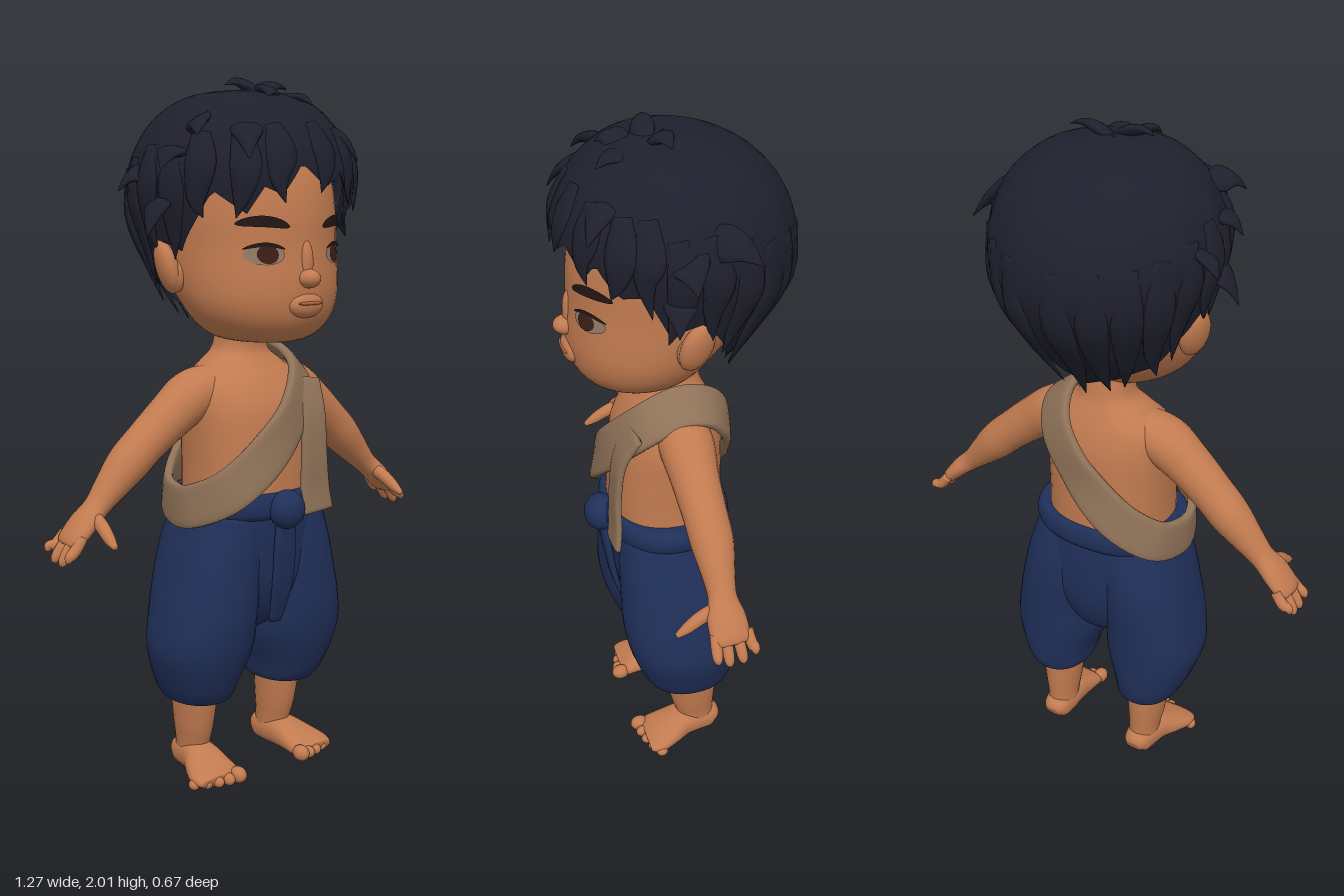
import * as THREE from 'three';

const mat = (name, color, side = THREE.FrontSide) => {
  const m = new THREE.MeshStandardMaterial({ color, side });
  m.name = name;
  return m;
};
const V3 = (x, y, z) => new THREE.Vector3(x, y, z);

// smooth interpolation through rows of numbers
function rowAt(rows, t, closed = false) {
  const n = rows.length;
  const get = i => closed ? rows[(i + n) % n] : rows[Math.max(0, Math.min(n - 1, i))];
  const i = closed ? Math.floor(t) : Math.min(Math.floor(t), n - 2), u = t - i;
  const [a, b, c, d] = [get(i - 1), get(i), get(i + 1), get(i + 2)];
  return b.map((_, k) => b[k] + 0.5 * u * (c[k] - a[k] + u * (2 * a[k] - 5 * b[k] + 4 * c[k] - d[k]
    + u * (3 * (b[k] - c[k]) + d[k] - a[k]))));
}

// row of a rising section list at height y
function rowAtY(rows, y) {
  let lo = 0, hi = rows.length - 1;
  for (let k = 0; k < 24; k++) {
    const m = (lo + hi) / 2;
    if (rowAt(rows, m)[1] < y) lo = m; else hi = m;
  }
  return rowAt(rows, lo);
}

// rows: [x, y, z, radius along ref, radius across]; ref is a vector or function of the point
function sweep(rows, { ref = V3(0, 0, 1), flat = false, closed = false, sides = 24, steps = 5, pow = 2 } = {}) {
  const n = (closed ? rows.length : rows.length - 1) * steps, rings = [];
  for (let i = 0; i < (closed ? n : n + 1); i++) rings.push(rowAt(rows, i / steps, closed));
  const pos = [], idx = [], count = rings.length;
  const at = i => V3(...rings[closed ? (i + count) % count : Math.max(0, Math.min(count - 1, i))]);
  const bend = v => Math.sign(v) * Math.abs(v) ** (2 / pow);
  rings.forEach((r, i) => {
    const c = at(i), T = at(i + 1).sub(at(i - 1));
    if (flat) T.set(0, Math.sign(T.y), 0);
    T.normalize();
    const U = (typeof ref === 'function' ? ref(c) : ref.clone());
    U.addScaledVector(T, -U.dot(T)).normalize();
    const W = T.clone().cross(U);
    for (let j = 0; j < sides; j++) {
      const a = j / sides * Math.PI * 2;
      const p = c.clone().addScaledVector(U, bend(Math.cos(a)) * r[3]).addScaledVector(W, bend(Math.sin(a)) * r[4]);
      pos.push(p.x, p.y, p.z);
    }
  });
  for (let i = 0; i < (closed ? count : count - 1); i++) for (let j = 0; j < sides; j++) {
    const k = (j + 1) % sides, q = (i + 1) % count;
    const a = i * sides + j, b = i * sides + k, c = q * sides + j, d = q * sides + k;
    idx.push(a, b, c, b, d, c);
  }
  if (!closed) {
    const s = pos.length / 3, e = (count - 1) * sides;
    pos.push(...rings[0].slice(0, 3), ...rings[count - 1].slice(0, 3));
    for (let j = 0; j < sides; j++) {
      const k = (j + 1) % sides;
      idx.push(s, k, j, s + 1, e + j, e + k);
    }
  }
  return build(pos, idx);
}

function build(pos, idx) {
  const g = new THREE.BufferGeometry();
  g.setAttribute('position', new THREE.Float32BufferAttribute(pos, 3));
  g.setIndex(idx);
  g.computeVertexNormals();
  return g;
}

// [height, half width, front z, back z] to sweep rows
const sections = list => list.map(([y, rx, f, b]) => [0, y, (f + b) / 2, (f - b) / 2, rx]);
const headRows = sections([[1.283, 0.03, 0.16, 0.06], [1.29, 0.1, 0.215, -0.01], [1.31, 0.155, 0.255, -0.05],
  [1.35, 0.2, 0.285, -0.09], [1.4, 0.228, 0.298, -0.13], [1.46, 0.242, 0.3, -0.18], [1.55, 0.25, 0.292, -0.23],
  [1.65, 0.258, 0.285, -0.26], [1.75, 0.25, 0.26, -0.25], [1.85, 0.2, 0.2, -0.18], [1.92, 0.08, 0.1, -0.06]]);
const hairRows = sections([[1.3, 0.14, 0.2, -0.1], [1.38, 0.205, 0.25, -0.16], [1.46, 0.25, 0.29, -0.235],
  [1.55, 0.278, 0.305, -0.295], [1.65, 0.308, 0.318, -0.328], [1.75, 0.318, 0.322, -0.318], [1.84, 0.29, 0.292, -0.28],
  [1.91, 0.24, 0.24, -0.215], [1.96, 0.155, 0.165, -0.12], [1.98, 0.005, 0.03, 0.02]]);

// hairline height by angle from the front, in degrees
const hairline = [[-180, 1.33], [-150, 1.37], [-122, 1.42], [-105, 1.5], [-90, 1.57], [-75, 1.54], [-62, 1.62], [-52, 1.7],
  [-36, 1.64], [-27, 1.71], [-18, 1.69], [-8, 1.77], [8, 1.71], [18, 1.75], [30, 1.68], [38, 1.73], [50, 1.65],
  [62, 1.66], [75, 1.54], [90, 1.57], [105, 1.5], [122, 1.42], [150, 1.37], [180, 1.33]];
function edgeY(deg) {
  const i = Math.max(1, hairline.findIndex(h => h[0] >= deg));
  const [a, b] = [hairline[i - 1], hairline[i]];
  return a[1] + (b[1] - a[1]) * (deg - a[0]) / (b[0] - a[0]);
}
function hairPoint(deg, s, lift = 0) {
  const y = 1.98 - (1.98 - edgeY(deg)) * s ** 1.6, r = rowAtY(hairRows, y), a = deg * Math.PI / 180;
  const wave = 1 + 0.012 * s * Math.sin(a * 13 + s * 4) + lift;
  return [Math.sin(a) * r[4] * wave, y, r[2] + Math.cos(a) * r[3] * wave];
}

export function createModel() {
  const model = new THREE.Group();
  const skin = mat('skin', 0xc27b50), hair = mat('hair', 0x1f202d, THREE.DoubleSide), cloth = mat('trouser cloth', 0x20305a),
    sashCloth = mat('sash cloth', 0x8f7258), brow = mat('brow', 0x211616), eyeWhite = mat('eye white', 0x947a66),
    iris = mat('iris', 0x3d1f18), lip = mat('lip', 0xa8623f);
  const add = (name, geo, m) => {
    const mesh = new THREE.Mesh(geo, m);
    mesh.name = name;
    model.add(mesh);
    return mesh;
  };
  const ball = (name, m, x, y, z, rx, ry, rz) => {
    const b = add(name, new THREE.SphereGeometry(1, 24, 16), m);
    b.position.set(x, y, z);
    b.scale.set(rx, ry, rz);
    return b;
  };

  // head, nose, lips and ears
  add('head', sweep(headRows, { flat: true, sides: 48 }), skin);
  ball('nose', skin, 0, 1.467, 0.3, 0.032, 0.026, 0.034);
  ball('noseBridge', skin, 0, 1.51, 0.286, 0.022, 0.06, 0.02);
  ball('muzzle', skin, 0, 1.395, 0.288, 0.06, 0.035, 0.026);
  ball('mouth', lip, 0, 1.401, 0.308, 0.042, 0.006, 0.009);

  // thin oval laid on the face
  const plate = (name, m, cx, cy, rx, ry, off, arch = 0, tilt = 0) => {
    const g = new THREE.RingGeometry(0.001, 1, 28, 4), p = g.attributes.position;
    for (let i = 0; i < p.count; i++) {
      const u = p.getX(i), x = cx + u * rx, y = cy + p.getY(i) * ry - arch * u * u + tilt * u;
      const r = rowAtY(headRows, y);
      p.setXYZ(i, x, y, r[2] + r[3] * Math.sqrt(1 - (x / r[4]) ** 2) + off);
    }
    g.computeVertexNormals();
    add(name, g, m);
  };
  for (const s of [1, -1]) {
    plate('eye', eyeWhite, s * 0.122, 1.532, 0.048, 0.027, 0.004);
    plate('iris', iris, s * 0.118, 1.533, 0.026, 0.025, 0.007);
    plate('eyelid', brow, s * 0.124, 1.559, 0.05, 0.006, 0.008, 0.012);
    plate('eyebrow', brow, s * 0.122, 1.62, 0.064, 0.015, 0.006, 0.01, s * 0.004);
    ball('ear', skin, s * 0.262, 1.495, 0.01, 0.03, 0.075, 0.05).rotation.set(-0.15, s * 0.35, -s * 0.2);
    ball('earBowl', skin, s * 0.25, 1.47, 0.03, 0.03, 0.045, 0.03);
  }

  // hair shell with a ragged hairline
  const cols = 120, levels = 22, pos = [], idx = [];
  for (let i = 0; i <= levels; i++) for (let j = 0; j < cols; j++) pos.push(...hairPoint(j / cols * 360 - 180, i / levels));
  for (let i = 0; i < levels; i++) for (let j = 0; j < cols; j++) {
    const k = (j + 1) % cols, a = i * cols + j, b = i * cols + k;
    idx.push(a, a + cols, b, b, a + cols, b + cols);
  }
  add('hairCap', build(pos, idx), hair);

  // locks lying over the shell and poking below it
  const radial = c => V3(c.x, (c.y - 1.65) * 0.6, c.z);
  const lock = (pts, w) => add('hairLock', sweep(pts.map((p, i) => [...p, [0.012, 0.016, 0.01, 0.001][i], [0.6, 1, 0.6, 0.02][i] * w]),
    { ref: radial, sides: 10, steps: 4 }), hair);
  [-175, -157, -140, -124, -108, -92, -76, -60, -38, -20, 7, 29, 49, 62, 77, 93, 109, 125, 141, 158].forEach((d, i) => {
    const tip = hairPoint(d + (i % 2 ? 3 : -3), 1, 0.01);
    tip[1] -= 0.03;
    lock([hairPoint(d, 0.55, -0.02), hairPoint(d + 2, 0.75, -0.005), hairPoint(d, 0.92, 0.005), tip], 0.045);
  });
  // stray tufts: [start, end, width]
  [[[-0.27, 1.8, 0.08], [-0.345, 1.755, 0.1], 0.05], [[-0.29, 1.68, 0.04], [-0.362, 1.58, 0.06], 0.05],
    [[0.28, 1.8, 0.0], [0.345, 1.745, -0.13], 0.05], [[0.28, 1.76, 0.05], [0.362, 1.695, 0.04], 0.055],
    [[-0.28, 1.74, -0.04], [-0.365, 1.7, -0.07], 0.045], [[-0.23, 1.87, 0.12], [-0.3, 1.84, 0.2], 0.04],
    [[0.28, 1.65, 0.06], [0.34, 1.57, 0.08], 0.045], [[0.02, 1.95, 0.08], [-0.1, 1.985, 0.06], 0.035],
    [[0.0, 1.95, 0.05], [0.14, 1.985, 0.04], 0.035], [[0.0, 1.94, 0.12], [-0.05, 1.95, 0.19], 0.04],
    [[0.05, 1.93, 0.12], [0.08, 1.93, 0.22], 0.04], [[-0.14, 1.87, 0.2], [-0.2, 1.78, 0.29], 0.045],
    [[0.14, 1.87, 0.2], [0.2, 1.78, 0.275], 0.045]].forEach(([a, b, w]) => {
    const mix = (t, up) => a.map((v, k) => v + (b[k] - v) * t + (k === 1 ? up : 0));
    lock([a, mix(0.35, 0.018), mix(0.7, 0.02), b], w);
  });

  // torso and neck
  add('torso', sweep([[0, 0.8, 0.03, 0.165, 0.19], [0, 0.9, 0.03, 0.165, 0.188], [0, 1, 0.028, 0.162, 0.19],
    [0, 1.1, 0.022, 0.152, 0.193], [0, 1.17, 0.012, 0.125, 0.18], [0, 1.22, 0.003, 0.095, 0.125], [0, 1.26, 0, 0.075, 0.08],
    [0, 1.34, 0.01, 0.07, 0.07]], { flat: true, sides: 40, pow: 2.3 }), skin);

  for (const s of [1, -1]) {
    // arm, palm and fingers
    add('arm', sweep([[0.1, 1.165, 0.01, 0.07, 0.055], [0.18, 1.135, 0.012, 0.078, 0.072], [0.26, 1.08, 0.012, 0.068, 0.066],
      [0.34, 1.015, 0.008, 0.062, 0.06], [0.4, 0.96, 0.005, 0.06, 0.058], [0.46, 0.9, 0.006, 0.047, 0.045],
      [0.505, 0.855, 0.008, 0.04, 0.034], [0.545, 0.82, 0.01, 0.054, 0.03], [0.585, 0.778, 0.008, 0.055, 0.024],
      [0.596, 0.762, 0.007, 0.045, 0.016]].map(r => [s * r[0], ...r.slice(1)])), skin);
    [[-0.042, -0.05, 0.74], [-0.01, -0.016, 0.715], [0.022, 0.022, 0.712], [0.05, 0.055, 0.728]].forEach(([z0, z1, y]) =>
      add('finger', sweep([[s * 0.575, 0.788, z0, 0.015, 0.015], [s * 0.6, 0.758, (z0 + z1) / 2, 0.016, 0.016],
        [s * 0.62, y + 0.014, z1, 0.014, 0.014], [s * 0.626, y, z1, 0.006, 0.006]], { sides: 12 }), skin));
    add('thumb', sweep([[s * 0.525, 0.835, 0.03, 0.018, 0.02], [s * 0.528, 0.815, 0.075, 0.019, 0.02],
      [s * 0.532, 0.79, 0.115, 0.016, 0.016], [s * 0.534, 0.772, 0.145, 0.008, 0.007]], { ref: V3(1, 0, 0), sides: 12 }), skin);

    // lower leg, foot and toes
    add('lowerLeg', sweep([[s * 0.155, 0.03, -0.04, 0.05, 0.044], [s * 0.156, 0.09, -0.028, 0.06, 0.047],
      [s * 0.158, 0.16, -0.02, 0.072, 0.056], [s * 0.16, 0.3, -0.012, 0.085, 0.07]], { flat: true }), skin);
    add('foot', sweep([[0.155, 0.034, -0.1, 0.02, 0.025], [0.155, 0.042, -0.08, 0.041, 0.042], [0.157, 0.046, -0.03, 0.046, 0.05],
      [0.163, 0.046, 0.02, 0.046, 0.056], [0.174, 0.036, 0.07, 0.036, 0.07], [0.182, 0.026, 0.115, 0.026, 0.078],
      [0.183, 0.02, 0.14, 0.015, 0.065]].map(r => [s * r[0], ...r.slice(1)]), { ref: V3(0, 1, 0), pow: 2.3 }), skin);
    [0.024, 0.018, 0.017, 0.016, 0.015].forEach((r, i) =>
      ball('toe', skin, s * (0.122 + i * 0.033), r, 0.147 - i * i * 0.0025, r * 0.95, r, r * 1.2));

    // baggy trouser leg gathered at the hem
    add('trouserLeg', sweep([[0.158, 0.26, -0.01, 0.07, 0.055], [0.16, 0.236, -0.008, 0.1, 0.08], [0.162, 0.25, -0.004, 0.122, 0.094],
      [0.168, 0.3, 0.004, 0.142, 0.112], [0.166, 0.4, 0.02, 0.162, 0.145], [0.158, 0.5, 0.026, 0.172, 0.143],
      [0.143, 0.6, 0.024, 0.175, 0.137], [0.125, 0.7, 0.025, 0.172, 0.13], [0.108, 0.8, 0.03, 0.155, 0.115]]
      .map(r => [s * r[0], ...r.slice(1)]), { flat: true, sides: 32, pow: 2.2 }), cloth);
  }

  // trouser seat, waistband, knot and hanging flap
  add('trouserSeat', sweep([[0, 0.43, 0.01, 0.06, 0.05], [0, 0.48, 0.015, 0.12, 0.11], [0, 0.58, 0.02, 0.162, 0.18],
    [0, 0.7, 0.025, 0.172, 0.225], [0, 0.8, 0.03, 0.172, 0.222], [0, 0.845, 0.03, 0.17, 0.205]],
  { flat: true, sides: 40, pow: 2.3 }), cloth);
  add('waistband', sweep([[0, 0.785, 0.03, 0.17, 0.215], [0, 0.8, 0.03, 0.183, 0.23], [0, 0.83, 0.03, 0.186, 0.236],
    [0, 0.858, 0.03, 0.178, 0.222], [0, 0.86, 0.03, 0.165, 0.195]], { flat: true, sides: 40, pow: 2.3 }), cloth);
  ball('waistKnot', cloth, -0.005, 0.815, 0.222, 0.055, 0.056, 0.048);
  add('waistFlap', sweep([[-0.005, 0.8, 0.215, 0.014, 0.03], [0, 0.7, 0.208, 0.012, 0.038], [0.005, 0.58, 0.19, 0.01, 0.036],
    [0.005, 0.47, 0.16, 0.006, 0.022]], { pow: 3 }), cloth);

  // sash across the chest and back, with a loose end
  const outward = c => V3(c.x, c.y - Math.min(c.y, 1.06), c.z - 0.02);
  add('sash', sweep([[0.14, 1.235, 0.02], [0.125, 1.18, 0.125], [0.04, 1.075, 0.192], [-0.07, 0.97, 0.207], [-0.17, 0.885, 0.178],
    [-0.228, 0.838, 0.1], [-0.24, 0.825, 0.02], [-0.205, 0.85, -0.08], [-0.11, 0.925, -0.14], [0, 1.03, -0.148],
    [0.09, 1.14, -0.128], [0.13, 1.215, -0.07]].map(p => [...p, 0.015, 0.062]),
  { ref: outward, closed: true, pow: 4, sides: 20 }), sashCloth);
  add('sashEnd', sweep([[0.13, 1.17, 0.145, 0.01, 0.05], [0.118, 1.08, 0.188, 0.011, 0.045], [0.113, 0.96, 0.203, 0.011, 0.046],
    [0.115, 0.86, 0.205, 0.011, 0.052], [0.12, 0.79, 0.212, 0.01, 0.056]], { pow: 4, sides: 20 }), sashCloth);

  return model;
}
